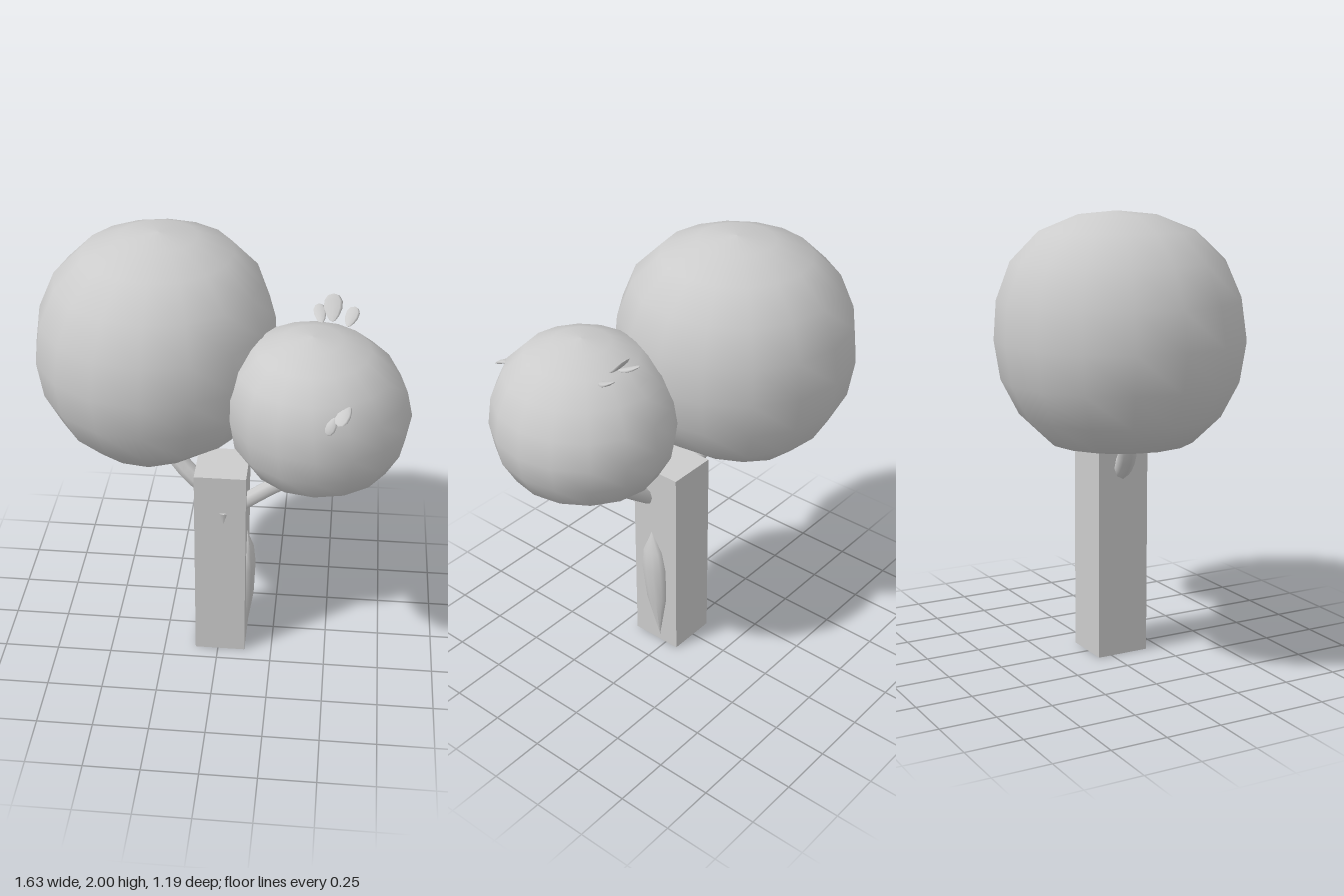
import * as THREE from 'three';

const material = new THREE.MeshStandardMaterial({ color: 0xcccccc });
const openMaterial = new THREE.MeshStandardMaterial({ color: 0xcccccc, side: THREE.DoubleSide });

function addMesh(parent, name, geometry, mat = material) {
  const mesh = new THREE.Mesh(geometry, mat);
  mesh.name = name;
  parent.add(mesh);
  return mesh;
}

// Coarse rounded ball: shoulders swell a little, the top leans, the underside is cut flat.
function crownGeometry([cx, cy, cz], [rx, ry, rz], bulge, leanX, leanZ, floorAt) {
  const geo = new THREE.SphereGeometry(1, 16, 10);
  const p = geo.attributes.position;
  for (let i = 0; i < p.count; i++) {
    const ny = p.getY(i);
    const up = Math.max(0, ny);
    const swell = 1 + bulge * 4 * up * up * (1 - up * up);
    const dy = ny * ry * swell;
    const x = cx + p.getX(i) * rx * swell + leanX * Math.max(0, dy);
    const z = cz + p.getZ(i) * rz * swell + leanZ * Math.max(0, dy);
    p.setXYZ(i, x, Math.max(cy + dy, floorAt(x, z)), z);
  }
  geo.computeVertexNormals();
  // Weld normals across the seam of the sphere
  const n = geo.attributes.normal;
  for (let row = 0; row <= 10; row++) {
    const a = row * 17, b = a + 16;
    const v = new THREE.Vector3().fromBufferAttribute(n, a)
      .add(new THREE.Vector3().fromBufferAttribute(n, b)).normalize();
    n.setXYZ(a, v.x, v.y, v.z);
    n.setXYZ(b, v.x, v.y, v.z);
  }
  return geo;
}

// Bent branch along a few points
function branchGeometry(points, radius) {
  const curve = new THREE.CatmullRomCurve3(points.map((q) => new THREE.Vector3(...q)));
  return new THREE.TubeGeometry(curve, 8, radius, 8, false);
}

// Thin leaf growing along +y from its base, widest past the middle
function leafGeometry(length, width) {
  const geo = new THREE.SphereGeometry(0.5, 8, 6);
  geo.translate(0, 0.5, 0);
  const p = geo.attributes.position;
  for (let i = 0; i < p.count; i++) {
    const t = p.getY(i);
    const taper = 0.55 + 0.6 * t;
    p.setXYZ(i, p.getX(i) * width * taper, t * length, p.getZ(i) * 0.016 + 0.02 * t * t);
  }
  geo.computeVertexNormals();
  return geo;
}

export function createModel() {
  const tree = new THREE.Group();
  tree.name = 'tree';

  // Square trunk
  addMesh(tree, 'trunk', new THREE.BoxGeometry(0.23, 0.96, 0.245)).position.set(0.01, 0.48, 0.058);

  // Pointed swelling on the side of the trunk
  const knotProfile = [[0, -0.32], [0.055, -0.1], [0.067, 0.07], [0.052, 0.17], [0, 0.27]];
  const knot = addMesh(tree, 'trunkKnot',
    new THREE.LatheGeometry(knotProfile.map(([r, y]) => new THREE.Vector2(r, y)), 10));
  knot.position.set(0.125, 0.35, 0.06);
  knot.scale.x = 0.6;
  knot.rotation.x = 0.075;

  // Small bark chip on the front of the trunk
  const chip = addMesh(tree, 'barkChip', new THREE.ConeGeometry(0.02, 0.06, 6));
  chip.position.set(0.025, 0.745, 0.18);
  chip.rotation.x = Math.PI;
  chip.scale.z = 0.5;

  // Branches holding the crowns
  const branches = [
    ['largeBranch', [[-0.03, 0.81, 0.06], [-0.13, 0.89, 0.05], [-0.21, 0.99, 0.02], [-0.23, 1.15, -0.03]], 0.042],
    ['smallBranch', [[0.06, 0.76, 0.11], [0.22, 0.88, 0.115], [0.36, 0.99, 0.135], [0.44, 1.15, 0.16]], 0.036],
    ['twig', [[0.31, 0.94, 0.125], [0.285, 1.0, 0.14], [0.27, 1.06, 0.15], [0.27, 1.18, 0.155]], 0.02],
  ];
  for (const [name, points, radius] of branches) {
    addMesh(tree, name, branchGeometry(points, radius), openMaterial);
  }

  // Foliage balls
  addMesh(tree, 'largeCrown', crownGeometry([-0.29, 1.47, -0.06], [0.525, 0.53, 0.535], 0.05, 0.04, -0.02,
    (x, z) => 1.03 + 0.12 * Math.max(0, x + 0.3) + 0.05 * Math.max(0, z + 0.1)));
  addMesh(tree, 'smallCrown', crownGeometry([0.428, 1.33, 0.183], [0.388, 0.365, 0.408], 0.04, -0.1, 0.08,
    (x) => 1.06 + 0.22 * Math.max(0, 0.5 - x)));

  // Loose leaves: base position, pitch, spread, length, width
  const leaves = [
    [[0.42, 1.64, -0.01], -1.35, 0.15, 0.11, 0.06],
    [[0.465, 1.65, -0.01], -0.95, 0, 0.125, 0.09],
    [[0.53, 1.63, -0.01], -1.3, -0.25, 0.11, 0.065],
    [[0.555, 1.545, 0.5], 1.85, 0.45, 0.1, 0.065],
    [[0.5, 1.515, 0.535], 2.3, 0.4, 0.075, 0.05],
  ];
  leaves.forEach(([pos, pitch, spread, length, width], i) => {
    const leaf = addMesh(tree, `leaf${i + 1}`, leafGeometry(length, width), openMaterial);
    leaf.position.set(...pos);
    leaf.rotation.set(pitch, 0, spread);
  });

  return tree;
}
